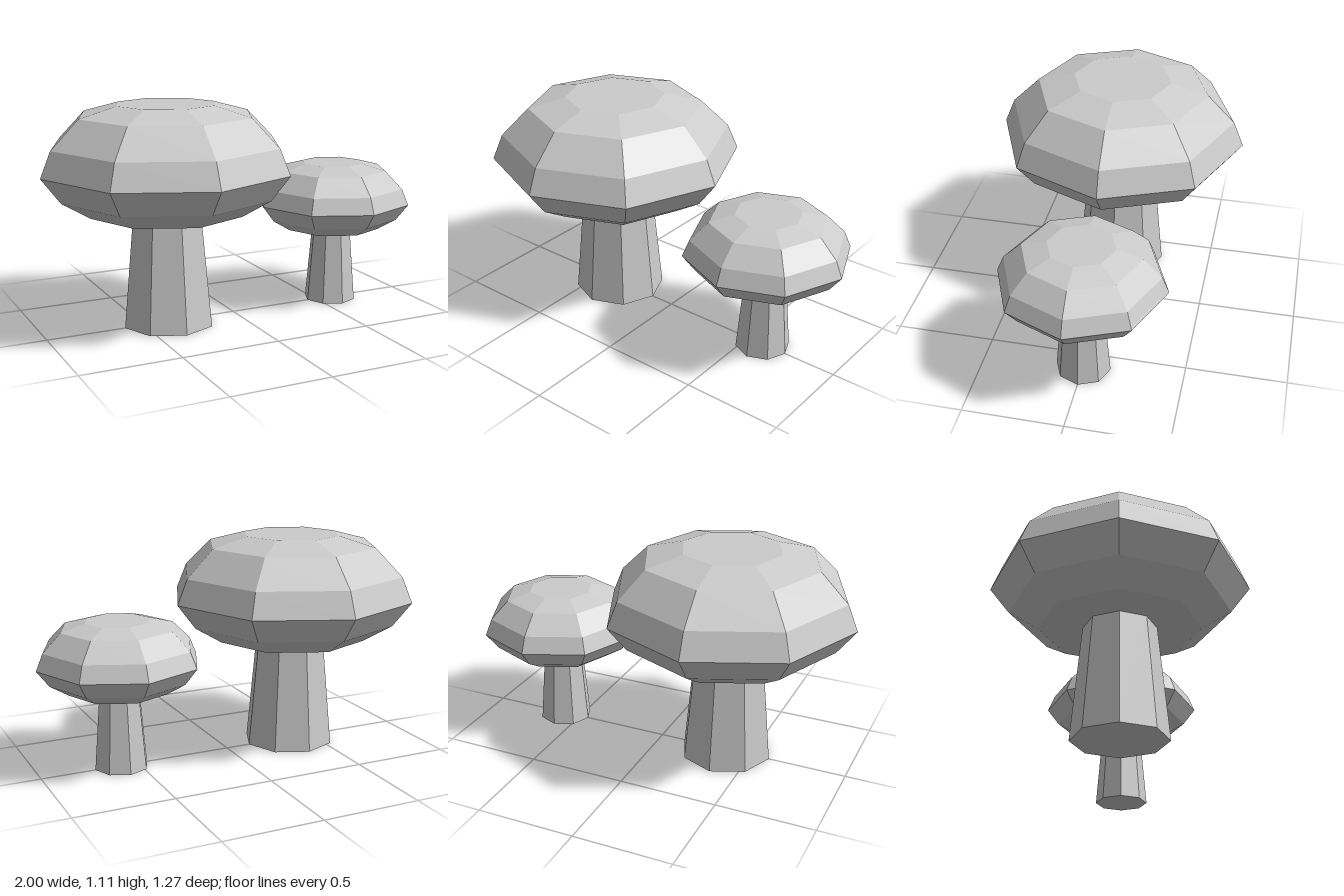
import * as THREE from 'three';

const SIDES = 8;
const material = new THREE.MeshStandardMaterial({ color: 0xcccccc, flatShading: true, name: 'grey' });

// Cap profile as [radius, height above the underside], from underside to crown
const CAP_PROFILE = [
  [0, 0], [0.395, 0], [0.54, 0.088], [0.636, 0.215],
  [0.583, 0.343], [0.443, 0.483], [0.253, 0.535], [0, 0.535],
];

function createMushroom(name, x, stemHeight, baseRadius, topRadius, capScale) {
  const mushroom = new THREE.Group();
  mushroom.name = name;
  mushroom.position.x = x;

  // Tapered stem, standing on the ground
  const stem = new THREE.Mesh(
    new THREE.CylinderGeometry(topRadius, baseRadius, stemHeight, SIDES), material);
  stem.name = 'stem';
  stem.position.y = stemHeight / 2;

  // Faceted cap with flat underside and flat crown
  const points = CAP_PROFILE.map(([r, y]) => new THREE.Vector2(r * capScale, y * capScale));
  const cap = new THREE.Mesh(new THREE.LatheGeometry(points, SIDES), material);
  cap.name = 'cap';
  cap.position.y = stemHeight;

  mushroom.add(stem, cap);
  return mushroom;
}

export function createModel() {
  const model = new THREE.Group();
  model.name = 'mushrooms';
  model.add(
    createMushroom('largeMushroom', -0.364, 0.577, 0.235, 0.18, 1),
    createMushroom('smallMushroom', 0.587, 0.403, 0.137, 0.103, 0.649),
  );
  return model;
}
